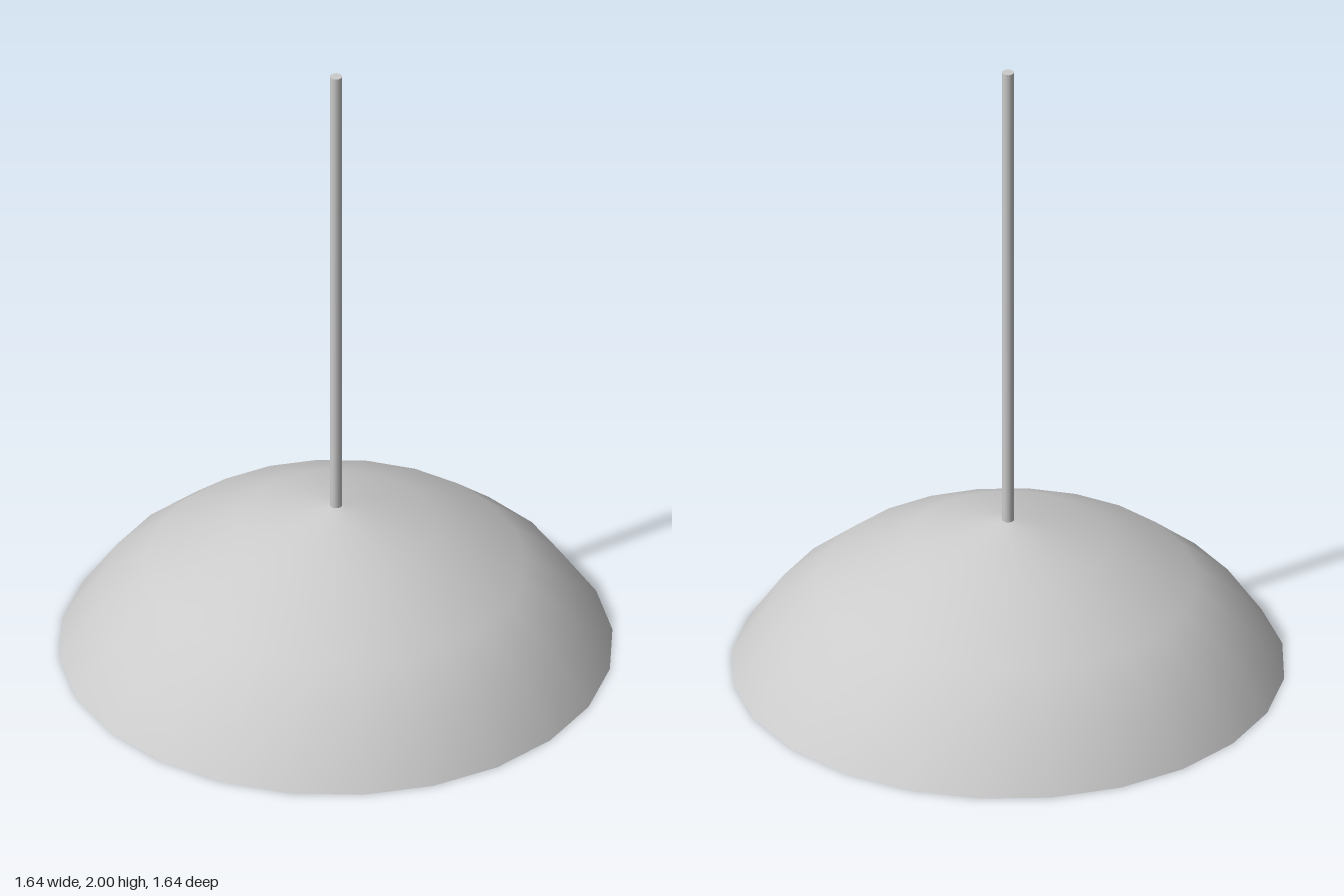
import * as THREE from 'three';

const SIDES = 24;

export function createModel() {
  const lamp = new THREE.Group();
  lamp.name = 'pendantLamp';
  const material = new THREE.MeshStandardMaterial({ color: 0xcccccc });

  const add = (name, geometry, y = 0) => {
    const mesh = new THREE.Mesh(geometry, material);
    mesh.name = name;
    mesh.position.y = y;
    lamp.add(mesh);
  };
  const lathe = (points, sides) =>
    new THREE.LatheGeometry(points.map(([r, y]) => new THREE.Vector2(r, y)), sides);

  // Shade: outer skin up to the rod hole, then back down the inner skin
  const outer = [[0.82, 0], [0.71, 0.16], [0.56, 0.285], [0.3, 0.42], [0.015, 0.49]];
  const inner = [[0.015, 0.472], [0.295, 0.403], [0.55, 0.27], [0.697, 0.148], [0.802, 0]];
  add('shade', lathe([...outer, ...inner], SIDES));
  add('shadeRim', lathe([[0.802, 0], [0.82, 0]], SIDES));

  // Hanging rod
  add('rod', new THREE.CylinderGeometry(0.018, 0.018, 1.54, 12), 1.23);

  // Bulb socket under the crown of the shade
  add('socket', new THREE.CylinderGeometry(0.056, 0.056, 0.045, 16), 0.452);

  // Bulb: round globe running into a narrow neck
  const radius = 0.134, centre = 0.26;
  const bulb = [];
  for (let i = 0; i <= 9; i++) {
    const a = (i / 9) * Math.PI * 0.8;
    bulb.push([radius * Math.sin(a), centre - radius * Math.cos(a)]);
  }
  bulb.push([0.056, 0.393], [0.048, 0.435]);
  add('bulb', lathe(bulb, 16));

  return lamp;
}
